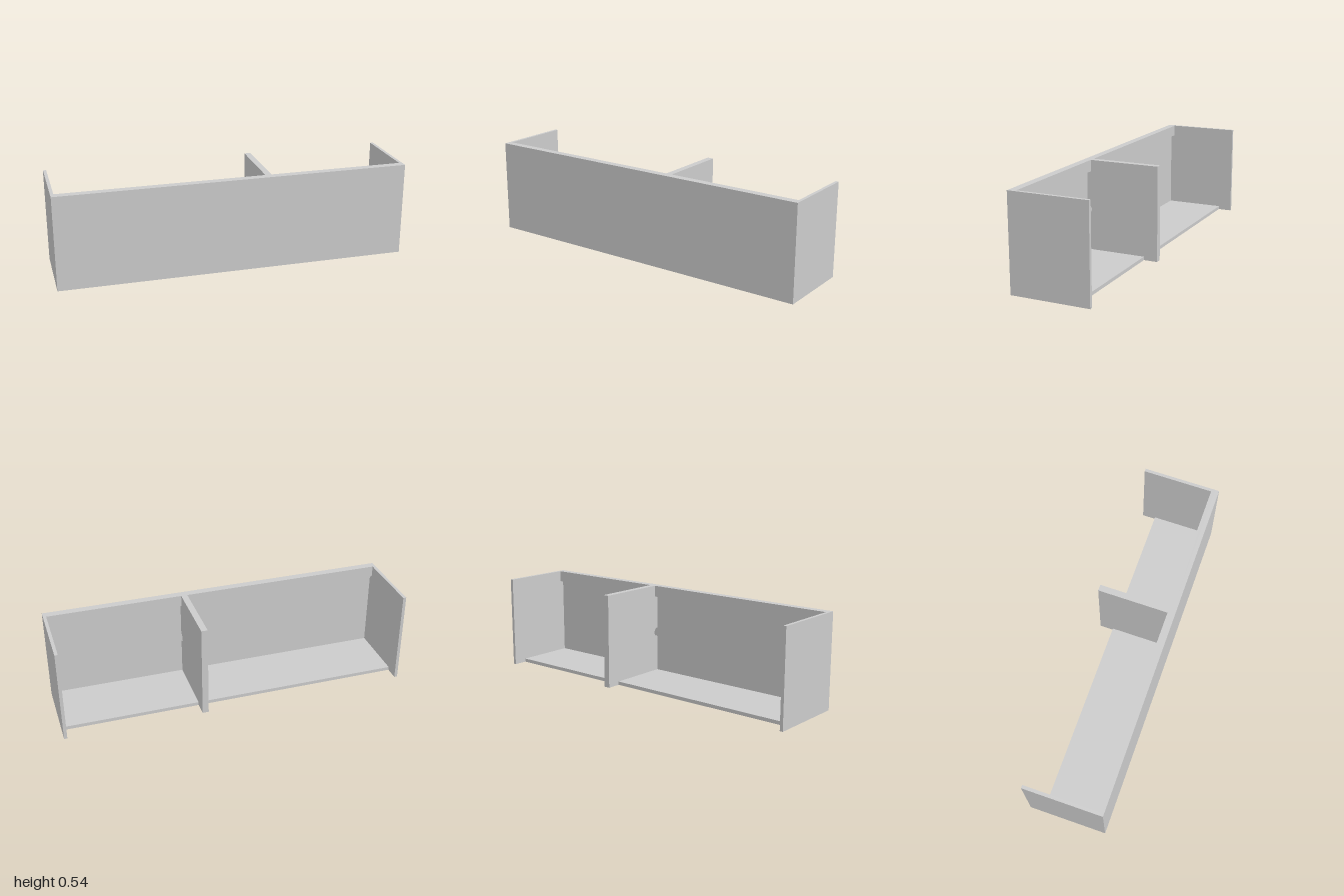
import * as THREE from 'three';

const H = 0.54, BACK = -0.225, FRONT = 0.225, T = 0.02;
const INNER = FRONT - T; // inner face of the front panel
const SIDE = 0.018;

export function createModel() {
  const group = new THREE.Group();
  const material = new THREE.MeshStandardMaterial({ color: 0xcccccc });

  const add = (name, geometry) => {
    const mesh = new THREE.Mesh(geometry, material);
    mesh.name = name;
    group.add(mesh);
  };
  // Box given by its limits on each axis
  const panel = (name, x0, x1, y0, y1, z0, z1) => add(name,
    new THREE.BoxGeometry(x1 - x0, y1 - y0, z1 - z0)
      .translate((x0 + x1) / 2, (y0 + y1) / 2, (z0 + z1) / 2));

  // Outer panels
  panel('frontPanel', -1, 1, 0, H, INNER, FRONT);
  panel('leftSide', 1 - SIDE, 1, 0, H, BACK, INNER);
  panel('rightSide', -1, -1 + SIDE, 0, H, BACK, INNER);

  // Thick divider with a half-round cable notch against the front panel
  const d0 = 0.178, d1 = 0.214, notchY = 0.255, r = 0.026;
  const profile = new THREE.Shape(); // drawn with its x as -z
  profile.moveTo(-INNER, 0);
  profile.lineTo(-BACK, 0);
  profile.lineTo(-BACK, H);
  profile.lineTo(-INNER, H);
  profile.lineTo(-INNER, notchY + r);
  profile.absarc(-INNER, notchY, r, Math.PI / 2, -Math.PI / 2, true);
  profile.closePath();
  add('divider', new THREE.ExtrudeGeometry(profile,
    { depth: d1 - d0, bevelEnabled: false, curveSegments: 16 })
    .rotateY(Math.PI / 2).translate(d0, 0, 0));

  // Bottom board and top rail of each bay
  for (const [bay, x0, x1] of [['right', -1 + SIDE, d0], ['left', d1, 1 - SIDE]]) {
    panel(bay + 'Bottom', x0, x1, 0, T, -0.145, INNER);
    panel(bay + 'TopRail', x0, x1, H - 0.065, H, 0.182, INNER);
  }
  return group;
}
